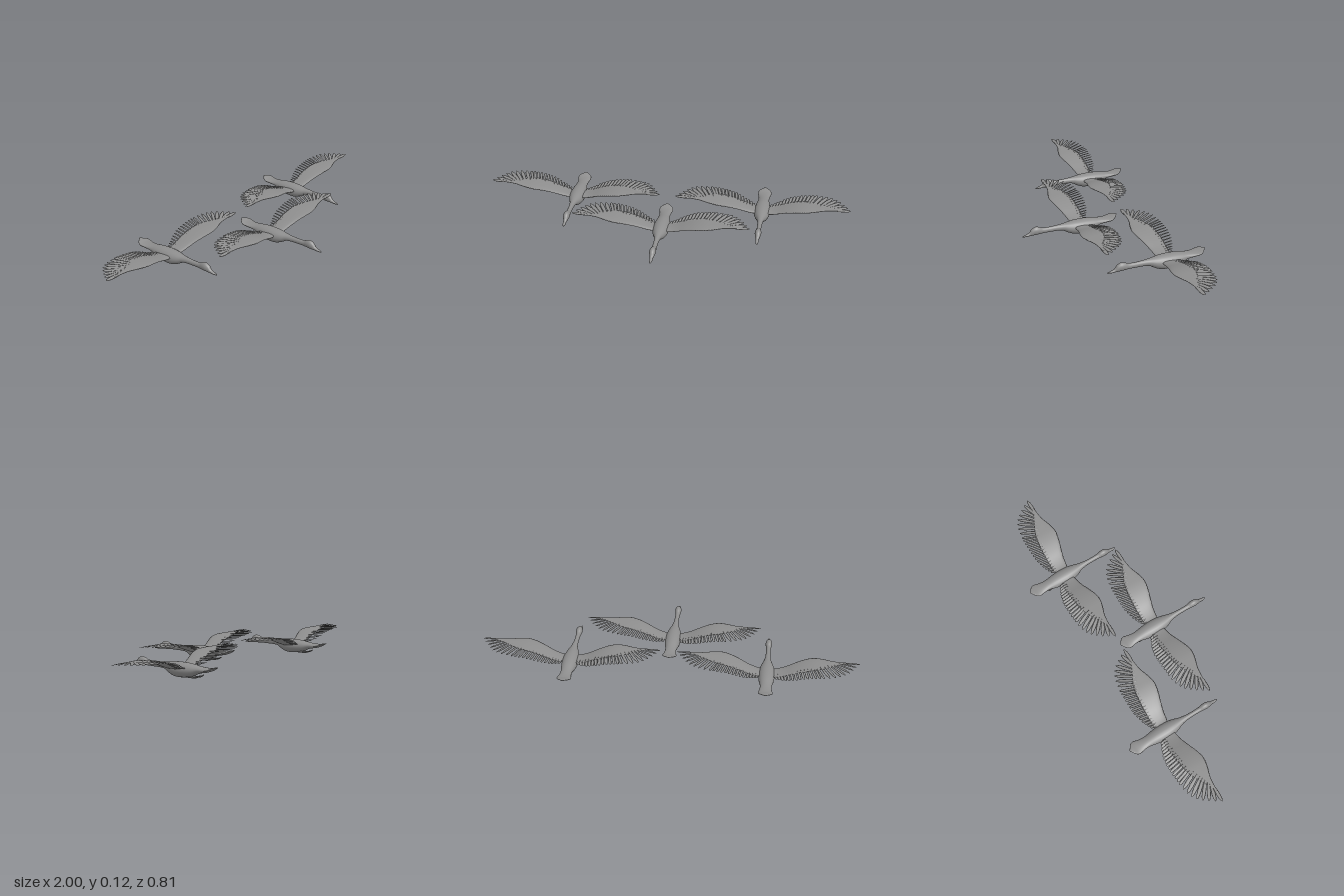
import * as THREE from 'three';
import { mergeGeometries } from 'three/addons/utils/BufferGeometryUtils.js';

const material = new THREE.MeshStandardMaterial({ color: 0x8e8e8e, side: THREE.DoubleSide });
const curve = (pts) => new THREE.CatmullRomCurve3(pts.map((p) => new THREE.Vector3(...p)));

// Closed skin through rings of points, with a fan closing each end
function loft(rings) {
  const n = rings[0].length, pos = [], index = [];
  rings.forEach((r) => r.forEach((p) => pos.push(p.x, p.y, p.z)));
  for (let i = 0; i < rings.length - 1; i++) {
    for (let j = 0; j < n; j++) {
      const a = i * n + j, b = i * n + (j + 1) % n;
      index.push(a, a + n, b, b, a + n, b + n);
    }
  }
  [0, rings.length - 1].forEach((k) => {
    const mid = rings[k].reduce((s, p) => s.add(p), new THREE.Vector3()).divideScalar(n);
    const c = pos.length / 3;
    pos.push(mid.x, mid.y, mid.z);
    for (let j = 0; j < n; j++) {
      const a = k * n + j, b = k * n + (j + 1) % n;
      index.push(c, k ? b : a, k ? a : b);
    }
  });
  const geo = new THREE.BufferGeometry();
  geo.setAttribute('position', new THREE.Float32BufferAttribute(pos, 3));
  geo.setIndex(index);
  geo.computeVertexNormals();
  return geo;
}

const mirrorX = (rings) =>
  rings.map((r) => r.map((p) => new THREE.Vector3(-p.x, p.y, p.z)).reverse());

function mesh(geo, name) {
  const m = new THREE.Mesh(geo, material);
  m.name = name;
  return m;
}

// Bill, head, neck, body and tail: z, bottom, top, half width
const BODY = [
  [0.402, 0.037, 0.041, 0.003], [0.385, 0.036, 0.046, 0.008], [0.363, 0.037, 0.056, 0.009],
  [0.35, 0.037, 0.073, 0.013], [0.33, 0.038, 0.083, 0.017], [0.31, 0.039, 0.08, 0.016],
  [0.29, 0.04, 0.071, 0.013], [0.25, 0.039, 0.068, 0.012], [0.21, 0.038, 0.069, 0.014],
  [0.175, 0.033, 0.071, 0.02], [0.145, 0.016, 0.074, 0.031], [0.115, 0.004, 0.077, 0.039],
  [0.085, 0.001, 0.078, 0.043], [0.045, 0.004, 0.077, 0.042], [0.005, 0.013, 0.073, 0.037],
  [-0.035, 0.03, 0.066, 0.03], [-0.07, 0.037, 0.062, 0.032], [-0.1, 0.045, 0.062, 0.038],
  [-0.118, 0.055, 0.066, 0.032], [-0.141, 0.067, 0.07, 0.003],
];

function makeBody() {
  const low = curve(BODY.map(([z, b, , w]) => [w, b, z]));
  const high = curve(BODY.map(([z, , t, w]) => [w, t, z]));
  const rings = [];
  for (let i = 0; i <= 76; i++) {
    const b = low.getPoint(i / 76), t = high.getPoint(i / 76), ring = [];
    for (let j = 0; j < 24; j++) {
      const a = (j / 24) * Math.PI * 2;
      ring.push(new THREE.Vector3(b.x * Math.cos(a),
        (b.y + t.y) / 2 + (t.y - b.y) / 2 * Math.sin(a), b.z));
    }
    rings.push(ring);
  }
  return mesh(loft(rings), 'body');
}

// Wing edges, root to tip
const LEADING = curve([[0.015, 0.05, 0.108], [0.05, 0.052, 0.117], [0.09, 0.063, 0.123],
  [0.14, 0.082, 0.137], [0.19, 0.097, 0.152], [0.24, 0.106, 0.16], [0.29, 0.11, 0.15],
  [0.34, 0.113, 0.133], [0.39, 0.115, 0.126], [0.43, 0.116, 0.124]]);
const TRAILING = curve([[0.015, 0.052, 0.04], [0.05, 0.056, 0.035], [0.09, 0.067, 0.033],
  [0.14, 0.086, 0.033], [0.19, 0.101, 0.036], [0.24, 0.11, 0.042], [0.29, 0.113, 0.056],
  [0.34, 0.115, 0.082], [0.39, 0.117, 0.106], [0.43, 0.117, 0.117]]);
// Where feathers start and end
const ROOTS = curve([[0.047, 0.056, 0.06], [0.09, 0.067, 0.055], [0.14, 0.086, 0.055],
  [0.19, 0.101, 0.057], [0.24, 0.109, 0.065], [0.275, 0.112, 0.077], [0.31, 0.114, 0.09],
  [0.335, 0.115, 0.1], [0.36, 0.116, 0.111], [0.385, 0.116, 0.119]]);
const TIPS = curve([[0.052, 0.056, 0.018], [0.098, 0.069, -0.005], [0.15, 0.089, -0.021],
  [0.205, 0.104, -0.025], [0.265, 0.112, -0.025], [0.32, 0.115, -0.02], [0.37, 0.117, -0.008],
  [0.412, 0.118, 0.02], [0.447, 0.118, 0.065], [0.478, 0.117, 0.116]]);

function wingRings() {
  const rings = [];
  for (let i = 0; i <= 36; i++) {
    const t = i / 36, front = LEADING.getPoint(t), back = TRAILING.getPoint(t);
    const thick = 0.009 * (1 - t) + 0.002, ring = [];
    for (let j = 0; j < 14; j++) {
      const a = (j / 14) * Math.PI * 2, c = (1 - Math.cos(a)) / 2;
      const p = front.clone().lerp(back, c);
      p.y += Math.sin(a) * thick * (1 - 0.7 * c);
      ring.push(p);
    }
    rings.push(ring);
  }
  return rings;
}

// Thin blade, rolled a little so that neighbours overlap like slats
function featherRings(root, tip, width, outline) {
  const dir = tip.clone().sub(root).normalize();
  const side = dir.clone().cross(new THREE.Vector3(0, 1, 0)).normalize().applyAxisAngle(dir, 0.25);
  const up = side.clone().cross(dir);
  return outline.map(([t, w]) => {
    const ring = [];
    for (let j = 0; j < 8; j++) {
      const a = (j / 8) * Math.PI * 2;
      ring.push(root.clone().lerp(tip, t)
        .addScaledVector(side, Math.cos(a) * width * w)
        .addScaledVector(up, Math.sin(a) * 0.0014 * w));
    }
    return ring;
  });
}

// Feather rows: count, range along the wing, half width, outline (length, width)
const ROWS = [
  { count: 14, from: 0, to: 0.5, width: 0.0083,
    outline: [[0, 0.6], [0.3, 0.95], [0.7, 1], [0.88, 0.92], [0.97, 0.65], [1, 0.2]] },
  { count: 8, from: 0.56, to: 1, width: 0.0108,
    outline: [[0, 0.5], [0.3, 0.9], [0.6, 1], [0.82, 0.8], [0.95, 0.45], [1, 0.1]] },
];

function makeWing(side) {
  const wing = new THREE.Group();
  wing.name = side > 0 ? 'leftWing' : 'rightWing';
  const sided = (rings) => loft(side > 0 ? rings : mirrorX(rings));
  const feathers = [];
  for (const { count, from, to, width, outline } of ROWS) {
    for (let i = 0; i < count; i++) {
      const t = from + (to - from) * i / (count - 1);
      feathers.push(sided(featherRings(ROOTS.getPoint(t), TIPS.getPoint(t), width, outline)));
    }
  }
  wing.add(mesh(sided(wingRings()), 'wingArm'), mesh(mergeGeometries(feathers), 'flightFeathers'));
  return wing;
}

// Trailing leg and flattened foot: z, y, half width, half height
function makeLeg(side) {
  const rings = [[0.05, 0.012, 0.007, 0.006], [0.02, 0.01, 0.005, 0.005],
    [-0.005, 0.009, 0.004, 0.004], [-0.018, 0.01, 0.006, 0.004], [-0.03, 0.013, 0.009, 0.004],
    [-0.04, 0.018, 0.01, 0.003], [-0.046, 0.023, 0.004, 0.001]].map(([z, y, w, h]) => {
    const ring = [];
    for (let j = 0; j < 10; j++) {
      const a = (j / 10) * Math.PI * 2;
      ring.push(new THREE.Vector3(side * 0.014 + w * Math.cos(a), y + h * Math.sin(a), z));
    }
    return ring;
  });
  return mesh(loft(rings), side > 0 ? 'leftLeg' : 'rightLeg');
}

export function createModel() {
  const flock = new THREE.Group();
  flock.name = 'flyingFlock';
  const bird = new THREE.Group();
  bird.add(makeBody());
  for (const side of [1, -1]) bird.add(makeWing(side), makeLeg(side));
  // Leader in front, one follower behind each wing
  [['leadBird', 0.002, 0], ['leftBird', 0.522, -0.264], ['rightBird', -0.522, -0.264]]
    .forEach(([name, x, z]) => {
      const b = bird.clone();
      b.name = name;
      b.position.set(x, 0, z);
      flock.add(b);
    });
  return flock;
}
